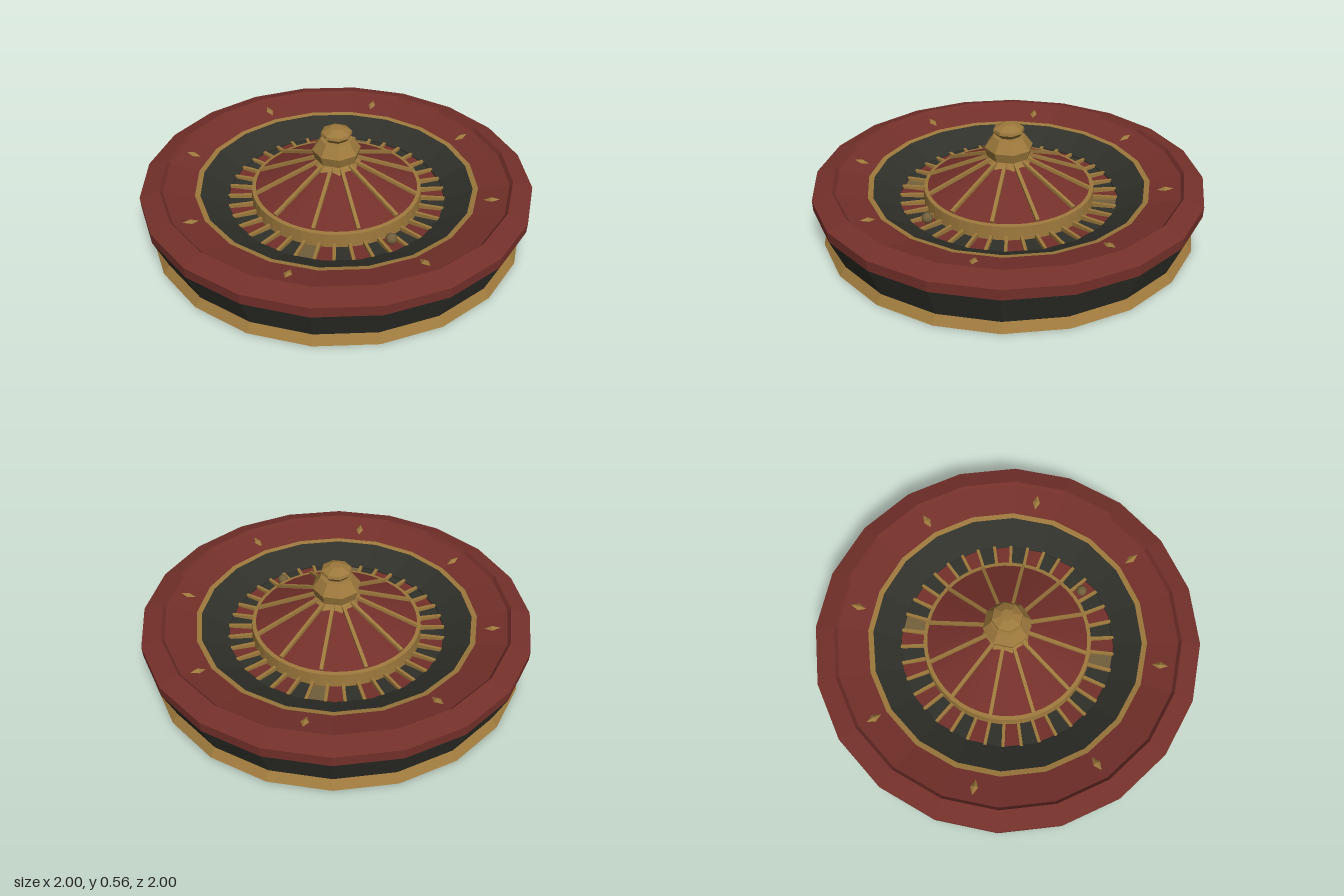
import * as THREE from 'three';

const mat = (name, color) => {
  const m = new THREE.MeshStandardMaterial({ color });
  m.name = name;
  return m;
};

export function createModel() {
  const red = mat('red wood', 0x74302a);
  const dark = mat('dark wood', 0x30312a);
  const gold = mat('gold', 0x9c783c);
  const bronze = mat('bronze', 0x73603c);

  const model = new THREE.Group();
  model.name = 'rouletteWheel';

  const add = (name, geometry, material, parent = model) => {
    const mesh = new THREE.Mesh(geometry, material);
    mesh.name = name;
    parent.add(mesh);
    return mesh;
  };

  const flat = (geometry) => {
    const g = geometry.index ? geometry.toNonIndexed() : geometry;
    g.computeVertexNormals();
    return g;
  };

  // Faceted ring: profile radii are measured to the middle of each flat side
  const ring = (profile, sides) => {
    const k = 1 / Math.cos(Math.PI / sides);
    const pts = profile.map(([r, y]) => new THREE.Vector2(r * k, y));
    return flat(new THREE.LatheGeometry(pts, sides, Math.PI / sides));
  };

  // Outer bowl, twenty sides
  const SIDES = 20;
  add('underside', ring([[0, 0], [0.965, 0]], SIDES), dark);
  add('baseTrim', ring([[0.965, 0], [0.932, 0.04]], SIDES), gold);
  add('bowlSide', ring([[0.932, 0.04], [0.998, 0.205]], SIDES), dark);
  add('rim', ring([[0.998, 0.205], [1, 0.26], [0.9, 0.29], [0.885, 0.272], [0.73, 0.235]], SIDES), red);
  add('trackTrim', ring([[0.73, 0.235], [0.703, 0.23]], SIDES), gold);
  add('track', ring([[0.703, 0.23], [0.565, 0.155], [0.565, 0.12]], SIDES), dark);

  // Eight diamond studs on the rim slope
  for (let i = 0; i < 8; i++) {
    const pivot = new THREE.Group();
    pivot.name = 'stud';
    pivot.rotation.y = (i * Math.PI) / 4;
    const stud = add('diamond', new THREE.OctahedronGeometry(1), gold, pivot);
    stud.scale.set(0.02, 0.014, 0.042);
    stud.position.set(0, 0.257, 0.81);
    stud.rotation.x = -0.22;
    model.add(pivot);
  }

  // Number pockets with dividers
  const COUNT = 38;
  const step = (Math.PI * 2) / COUNT;
  const floor = [new THREE.Vector2(0.577, 0.148), new THREE.Vector2(0.43, 0.138)];
  for (let i = 0; i < COUNT; i++) {
    const n = i % 19;
    const material = n === 0 ? bronze : n % 2 ? red : dark;
    add('pocket', flat(new THREE.LatheGeometry(floor, 1, (i - 0.5) * step, step)), material);

    const pivot = new THREE.Group();
    pivot.name = 'pocketDivider';
    pivot.rotation.y = (i + 0.5) * step;
    const bar = add('bar', new THREE.BoxGeometry(0.016, 0.022, 0.135), gold, pivot);
    bar.position.set(0, 0.151, 0.505);
    model.add(pivot);
  }

  // Turning cone and its gold edge
  const lathe = (pts) => flat(new THREE.LatheGeometry(pts.map((p) => new THREE.Vector2(...p)), 48));
  add('coneEdge', lathe([[0.45, 0.13], [0.445, 0.212], [0.425, 0.215]]), gold);
  add('cone', lathe([[0.425, 0.215], [0.09, 0.36]]), red);

  // Twelve ribs running up the cone
  const slope = Math.atan2(0.145, 0.335);
  for (let i = 0; i < 12; i++) {
    const pivot = new THREE.Group();
    pivot.name = 'rib';
    pivot.rotation.y = (i * Math.PI) / 6;
    const bar = add('ribBar', new THREE.BoxGeometry(0.018, 0.022, 0.36), gold, pivot);
    bar.position.set(0, 0.292, 0.26);
    bar.rotation.x = slope;
    model.add(pivot);
  }

  // Eight-sided turned hub
  add('hub', ring([
    [0.128, 0.335], [0.085, 0.378], [0.105, 0.38], [0.117, 0.43], [0.078, 0.488],
    [0.055, 0.49], [0.076, 0.515], [0.072, 0.53], [0.03, 0.553], [0, 0.555],
  ], 8), gold);

  // Ball resting in a pocket
  const ball = add('ball', new THREE.IcosahedronGeometry(0.03, 1), bronze);
  ball.position.set(0.37, 0.175, 0.34);

  return model;
}
